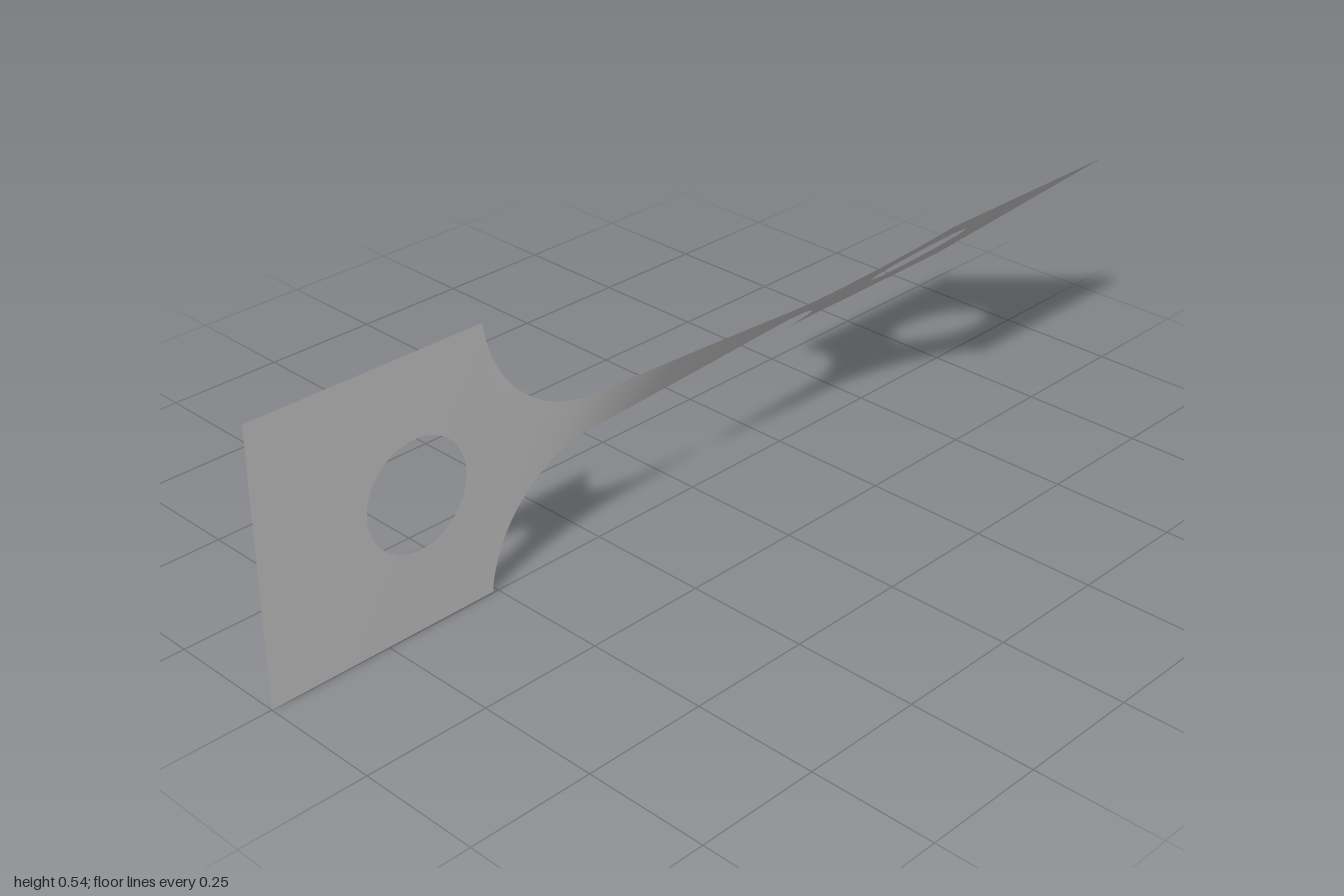
import * as THREE from 'three';

const HALF = 0.271;        // half height of the end plates
const NECK = 0.037;        // half height of the neck
const SHOULDER = 0.51;     // where plates meet the fillets
const NECK_END = 0.25;     // where fillets meet the neck
const HOLE_X = 0.668, HOLE_R = 0.109;
const TWIST = THREE.MathUtils.degToRad(49.6);

// Half height of the flat strip at x, with circular fillets
function halfHeight(x) {
  const a = Math.abs(x);
  if (a >= SHOULDER) return HALF;
  if (a <= NECK_END) return NECK;
  const w = SHOULDER - NECK_END, d = HALF - NECK;
  const r = (w * w + d * d) / (2 * d);
  return NECK + r - Math.sqrt(r * r - (a - NECK_END) ** 2);
}

// Twist angle along x: narrow sections turn the most
const STEPS = 800, angles = [0];
for (let i = 0; i < STEPS; i++) {
  const x = -1 + (2 * (i + 0.5)) / STEPS;
  angles.push(angles[i] + 1 / halfHeight(x) ** 2);
}
function twistAt(x) {
  const t = THREE.MathUtils.clamp(((x + 1) / 2) * STEPS, 0, STEPS);
  const i = Math.min(Math.floor(t), STEPS - 1);
  return (TWIST * THREE.MathUtils.lerp(angles[i], angles[i + 1], t - i)) / angles[STEPS];
}

// Grid of flat points point(u, v) wrapped onto the twisted sheet
function twistedSheet(nu, nv, point) {
  const pos = [], index = [];
  for (let i = 0; i <= nu; i++) {
    for (let j = 0; j <= nv; j++) {
      const [x, y] = point(i / nu, j / nv);
      const a = twistAt(x);
      pos.push(x, HALF + y * Math.cos(a), y * Math.sin(a));
      if (i < nu && j < nv) {
        const p = i * (nv + 1) + j, q = p + nv + 1;
        index.push(p, q, q + 1, p, q + 1, p + 1);
      }
    }
  }
  const geo = new THREE.BufferGeometry();
  geo.setAttribute('position', new THREE.Float32BufferAttribute(pos, 3));
  geo.setIndex(index);
  geo.computeVertexNormals();
  return geo;
}

// Rectangular plate with a round hole, as rings from rim to border
function holedPlate(side) {
  const cx = side * HOLE_X;
  const x0 = Math.min(side, side * SHOULDER), x1 = Math.max(side, side * SHOULDER);
  const corners = [[x0, -HALF], [x1, -HALF], [x1, HALF], [x0, HALF]];
  return twistedSheet(96, 8, (u, v) => {
    const s = u * 4, k = Math.floor(s) % 4, f = s - Math.floor(s);
    const a = corners[k], b = corners[(k + 1) % 4];
    const ox = THREE.MathUtils.lerp(a[0], b[0], f), oy = THREE.MathUtils.lerp(a[1], b[1], f);
    const t = Math.atan2(oy, ox - cx);
    const hx = cx + HOLE_R * Math.cos(t), hy = HOLE_R * Math.sin(t);
    // from border (v = 0) inward to the hole rim (v = 1)
    return [THREE.MathUtils.lerp(ox, hx, v), THREE.MathUtils.lerp(oy, hy, v)];
  });
}

export function createModel() {
  const group = new THREE.Group();
  group.name = 'twistedSpecimen';
  const metal = new THREE.MeshStandardMaterial({ color: 0xc0c0c0, side: THREE.DoubleSide });
  metal.name = 'lightGrey';

  const add = (name, geo) => {
    const mesh = new THREE.Mesh(geo, metal);
    mesh.name = name;
    group.add(mesh);
  };

  // End plates
  add('rightPlate', holedPlate(-1));
  add('leftPlate', holedPlate(1));

  // Neck with fillets; columns are denser towards the steep shoulders
  add('neck', twistedSheet(160, 16, (u, v) => {
    const x = SHOULDER * Math.sin((u - 0.5) * Math.PI);
    return [x, (2 * v - 1) * halfHeight(x)];
  }));
  return group;
}
